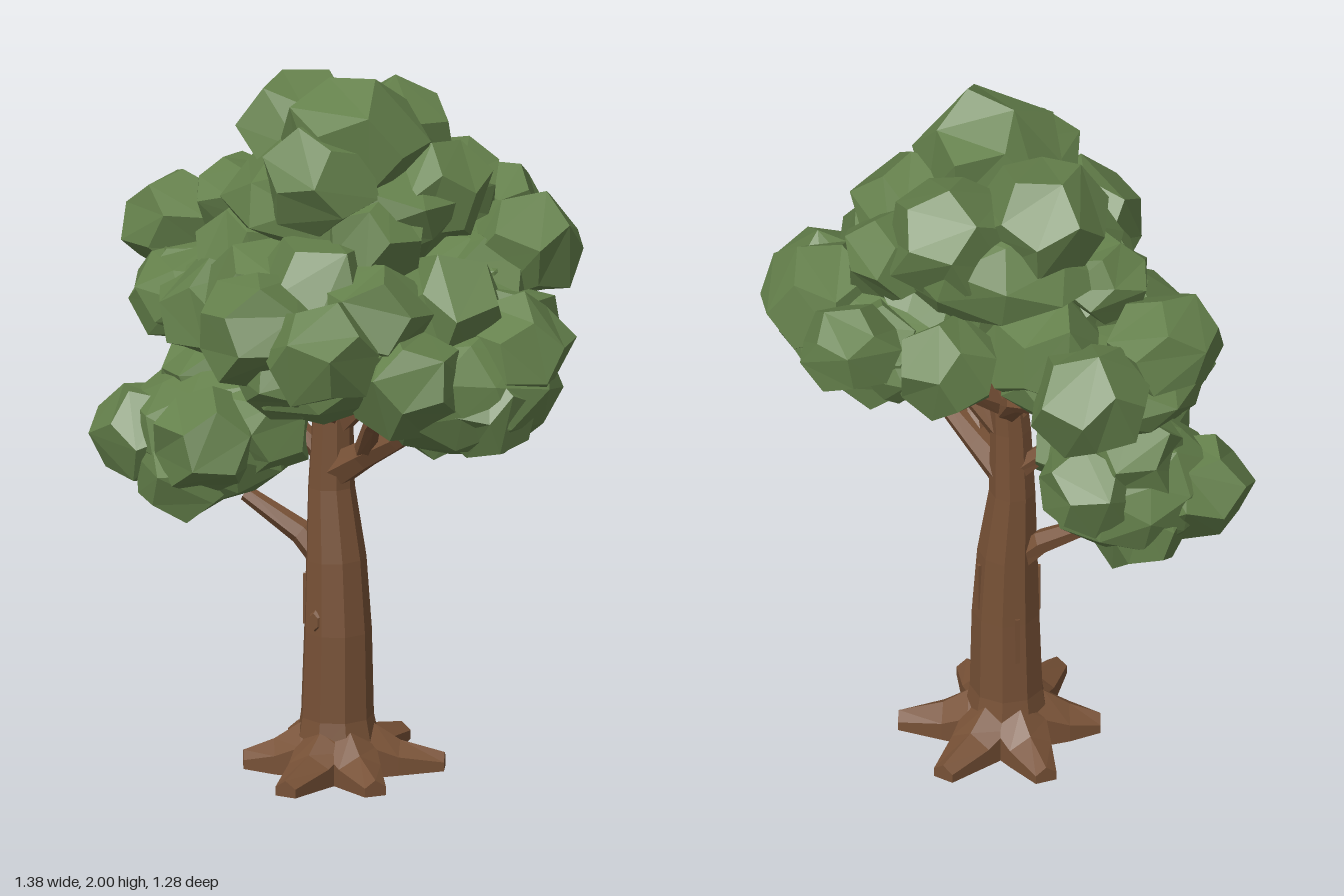
import * as THREE from 'three';

const V = (x, y, z) => new THREE.Vector3(x, y, z);

// Flat-faced skin over a list of rings, closed at both ends
function loft(rings) {
  const pos = [];
  const tri = (...p) => p.forEach(q => pos.push(q.x, q.y, q.z));
  const mid = ring => ring.reduce((s, p) => s.add(p), V(0, 0, 0)).divideScalar(ring.length);
  const n = rings[0].length, first = rings[0], last = rings[rings.length - 1];
  for (let j = 0; j < n; j++) {
    const k = (j + 1) % n;
    for (let i = 0; i < rings.length - 1; i++) {
      const a = rings[i], b = rings[i + 1];
      tri(a[j], a[k], b[k]);
      tri(a[j], b[k], b[j]);
    }
    tri(mid(first), first[k], first[j]);
    tri(mid(last), last[j], last[k]);
  }
  const g = new THREE.BufferGeometry();
  g.setAttribute('position', new THREE.Float32BufferAttribute(pos, 3));
  g.computeVertexNormals();
  return g;
}

// Tapered limb through [x, y, z, radius] stations
function limb(stations, sides) {
  const pts = stations.map(s => V(s[0], s[1], s[2]));
  return loft(stations.map((s, i) => {
    const t = pts[Math.min(i + 1, pts.length - 1)].clone().sub(pts[Math.max(i - 1, 0)]).normalize();
    const u = V(0, 0, 1).cross(t).normalize(), v = t.clone().cross(u);
    return Array.from({ length: sides }, (_, j) => {
      const a = (j + 0.5) / sides * Math.PI * 2;
      return pts[i].clone().addScaledVector(u, Math.cos(a) * s[3]).addScaledVector(v, Math.sin(a) * s[3]);
    });
  }));
}

// Root running from the trunk to a blunt tip, its underside rising slightly outward
function root(cx, cz, tx, tz) {
  const dir = V(tx - cx, 0, tz - cz), len = dir.length();
  dir.normalize();
  const side = V(0, 1, 0).cross(dir);
  const sections = [[0, 0.08, 0.19, 0], [0.1, 0.075, 0.135, 0.003], [0.17, 0.06, 0.09, 0.007], [len, 0.03, 0.058, 0.013]];
  return loft(sections.map(([d, w, h, low]) =>
    [[w, low], [w, h * 0.65], [0, h], [-w, h * 0.65], [-w, low]].map(([s, y]) =>
      V(cx, y, cz).addScaledVector(dir, d).addScaledVector(side, s))));
}

// Turn a unit polyhedron into an uneven faceted leaf mass
function leafMass(g, rx, ry, rz, seed) {
  const p = g.attributes.position, v = V(0, 0, 0);
  const turn = new THREE.Euler(seed * 1.7, seed * 2.3, seed * 0.9);
  for (let i = 0; i < p.count; i++) {
    v.fromBufferAttribute(p, i);
    const noise = Math.sin(7.1 * v.x + 8.3 * v.y + 5.7 * v.z + seed * 5.3);
    v.multiplyScalar(1.05 + noise * 0.08).applyEuler(turn);
    p.setXYZ(i, v.x * rx, v.y * ry, v.z * rz);
  }
  g.computeVertexNormals();
  return g;
}

export function createModel() {
  const bark = new THREE.MeshStandardMaterial({ color: 0x775136 });
  bark.name = 'barkBrown';
  const leaf = new THREE.MeshStandardMaterial({ color: 0x64804b });
  leaf.name = 'leafGreen';
  const tree = new THREE.Group();
  tree.name = 'tree';
  const add = (parent, name, geometry, material) => {
    const m = new THREE.Mesh(geometry, material);
    m.name = name;
    parent.add(m);
    return m;
  };

  // Trunk, leaning a little to one side
  add(tree, 'trunk', limb([
    [-0.02, 0.01, 0.015, 0.13], [-0.02, 0.08, 0.015, 0.115], [-0.022, 0.16, 0.015, 0.1],
    [-0.02, 0.4, 0.015, 0.093], [-0.028, 0.6, 0.012, 0.083], [-0.045, 0.8, 0.01, 0.064],
    [-0.04, 1.0, 0.01, 0.056], [-0.03, 1.2, 0, 0.046], [0, 1.38, 0, 0.032], [0.02, 1.6, 0, 0.012],
  ], 9), bark);

  // Six spreading roots
  const roots = new THREE.Group();
  roots.name = 'roots';
  tree.add(roots);
  [[0.035, 0.32], [0.225, 0.17], [0.225, -0.14], [-0.03, -0.285], [-0.26, -0.13], [-0.22, 0.17]]
    .forEach(([x, z]) => add(roots, 'root', root(-0.02, 0.015, x, z), bark));

  // Branches reaching into the leaf clusters
  const branches = new THREE.Group();
  branches.name = 'branches';
  tree.add(branches);
  [
    [[-0.05, 0.57, 0.01, 0.04], [-0.13, 0.655, 0.03, 0.034], [-0.28, 0.75, 0.08, 0.022]],
    [[-0.04, 0.84, 0.01, 0.055], [0.07, 0.91, 0.015, 0.042], [0.19, 0.98, 0.03, 0.032], [0.36, 1.1, 0.05, 0.02]],
    [[0.07, 0.91, 0.015, 0.032], [0.16, 1.03, 0.1, 0.024], [0.3, 1.17, 0.2, 0.015]],
    [[-0.03, 0.98, 0.01, 0.045], [0.07, 1.08, -0.02, 0.032], [0.22, 1.24, -0.16, 0.02]],
    [[-0.04, 1.0, 0.01, 0.045], [0.02, 1.1, 0.12, 0.032], [0.06, 1.28, 0.34, 0.02]],
    [[-0.04, 1.05, 0.01, 0.042], [-0.13, 1.15, 0.05, 0.028], [-0.32, 1.26, 0.12, 0.018]],
    [[-0.04, 1.06, 0, 0.04], [-0.12, 1.16, -0.08, 0.028], [-0.36, 1.27, -0.16, 0.018]],
    [[-0.03, 1.08, 0, 0.04], [0.01, 1.17, -0.12, 0.028], [0.05, 1.34, -0.38, 0.018]],
    [[-0.05, 0.86, 0, 0.035], [-0.14, 0.95, 0.03, 0.026], [-0.26, 1.0, 0.07, 0.018]],
  ].forEach(s => add(branches, 'branch', limb(s, 6), bark));

  // Knot and raised strips of bark
  const knot = add(tree, 'knot', new THREE.CylinderGeometry(0.016, 0.022, 0.012, 6).toNonIndexed(), bark);
  knot.geometry.computeVertexNormals();
  knot.rotation.x = Math.PI / 2;
  knot.scale.z = 1.5;
  knot.position.set(-0.03, 0.44, 0.102);
  [[0.5, 0.25], [1.9, 0.3], [2.7, 0.5], [4.1, 0.35], [5.2, 0.48]].forEach(([a, y]) => {
    const strip = add(tree, 'barkStrip', new THREE.BoxGeometry(0.012, 0.14, 0.008), bark);
    strip.position.set(-0.023 + Math.sin(a) * 0.086, y, 0.015 + Math.cos(a) * 0.086);
    strip.rotation.y = a;
  });

  // Leaf clusters: a broad core [x, y, z, rx, ry, rz] studded with clumps [x, y, z, radius]
  const clusters = {
    crownLeaves: {
      core: [0.0, 1.63, -0.03, 0.33, 0.17, 0.31],
      clumps: [
        [0.07, 1.81, 0.06, 0.19], [-0.18, 1.77, -0.05, 0.175], [0.0, 1.73, -0.22, 0.175],
        [0.22, 1.66, -0.08, 0.165], [0.05, 1.72, 0.19, 0.165],
        [-0.32, 1.58, 0.05, 0.125], [0.16, 1.62, -0.26, 0.135], [0.18, 1.58, 0.12, 0.15],
      ],
    },
    frontLeaves: {
      core: [0.13, 1.27, 0.26, 0.28, 0.155, 0.27],
      clumps: [
        [0.06, 1.38, 0.475, 0.17], [0.26, 1.35, 0.47, 0.16], [0.12, 1.44, 0.27, 0.175],
        [-0.07, 1.4, 0.28, 0.16], [0.27, 1.4, 0.26, 0.16], [0.12, 1.25, 0.42, 0.14],
      ],
    },
    leftLeaves: {
      core: [0.39, 1.18, 0.02, 0.25, 0.19, 0.26],
      clumps: [
        [0.53, 1.28, -0.04, 0.16], [0.4, 1.24, 0.25, 0.165], [0.36, 1.38, 0.04, 0.17],
        [0.51, 1.14, 0.08, 0.14], [0.42, 1.27, -0.15, 0.16], [0.34, 1.1, 0.05, 0.14],
      ],
    },
    rightLeaves: {
      core: [-0.34, 1.32, 0.03, 0.27, 0.13, 0.29],
      clumps: [
        [-0.54, 1.45, 0.04, 0.155], [-0.47, 1.37, -0.2, 0.165], [-0.44, 1.3, 0.12, 0.155], [-0.26, 1.32, 0.24, 0.155],
        [-0.24, 1.44, 0.1, 0.17], [-0.24, 1.4, -0.12, 0.17],
      ],
    },
    backLeaves: {
      core: [0.14, 1.39, -0.26, 0.28, 0.14, 0.24],
      clumps: [
        [0.11, 1.49, -0.52, 0.135], [0.34, 1.46, -0.34, 0.165], [-0.09, 1.41, -0.36, 0.145],
        [0.12, 1.4, -0.39, 0.16], [0.3, 1.37, -0.2, 0.16], [0.04, 1.47, -0.2, 0.16],
      ],
    },
    lowLeaves: {
      core: [-0.37, 0.91, 0.1, 0.235, 0.18, 0.22],
      clumps: [
        [-0.53, 0.91, 0.19, 0.15], [-0.28, 0.94, 0.25, 0.15], [-0.42, 1.03, 0.05, 0.145], [-0.36, 0.83, 0.23, 0.135],
        [-0.19, 0.96, 0.12, 0.14], [-0.45, 0.83, 0.04, 0.135], [-0.36, 0.97, -0.07, 0.14],
      ],
    },
  };
  let seed = 1;
  for (const [name, { core, clumps }] of Object.entries(clusters)) {
    const group = new THREE.Group();
    group.name = name;
    tree.add(group);
    const [cx, cy, cz, rx, ry, rz] = core;
    add(group, 'leafCore', leafMass(new THREE.IcosahedronGeometry(1, 1), rx, ry, rz, seed++), leaf).position.set(cx, cy, cz);
    for (const [x, y, z, r] of clumps)
      add(group, 'leafClump', leafMass(new THREE.DodecahedronGeometry(1), r, r * 0.92, r, seed++), leaf).position.set(x, y, z);
  }
  return tree;
}
